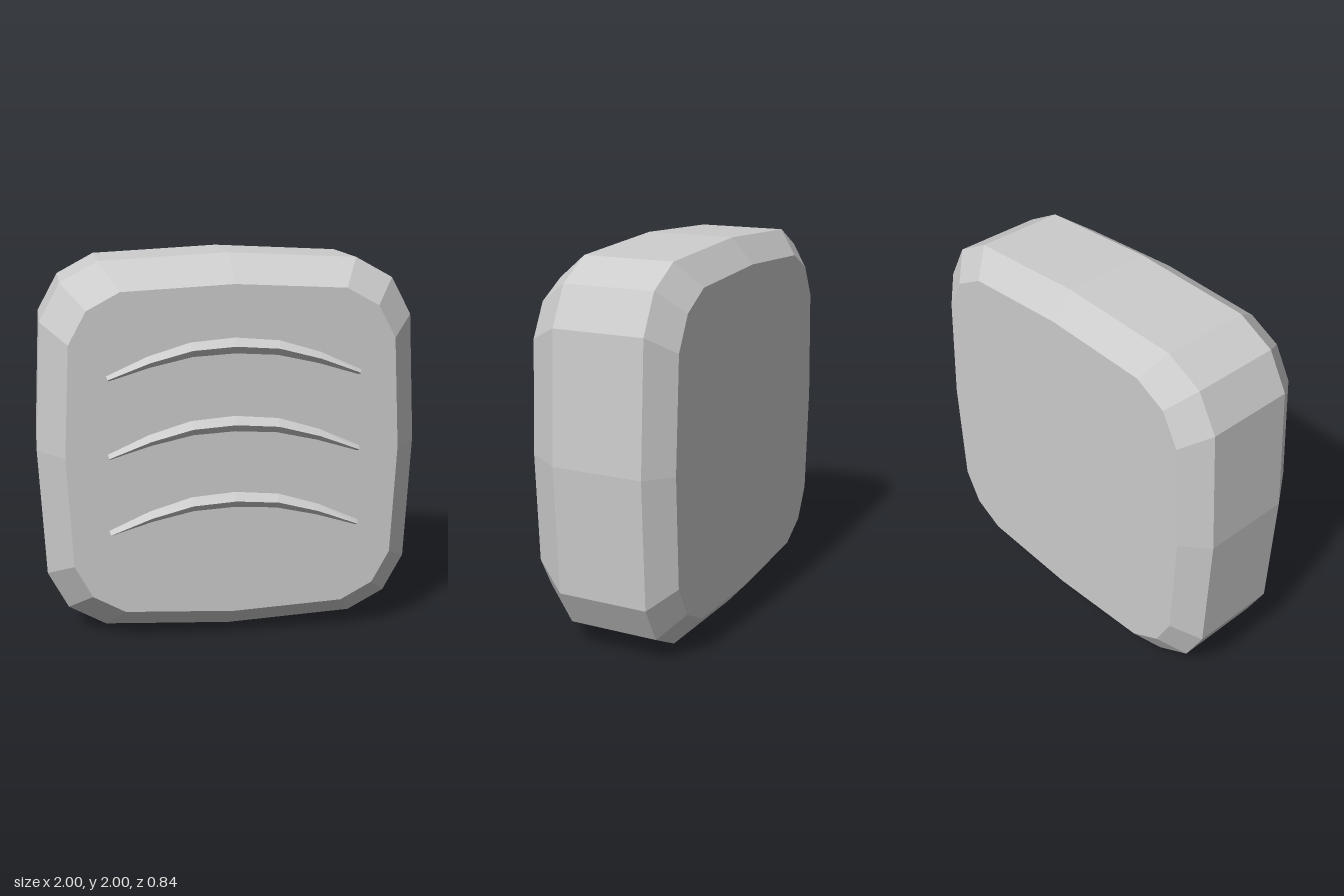
import * as THREE from 'three';

// Skin a list of equal-length rings (counter-clockwise seen from the end side), with both ends capped
function loft(rings) {
  const pos = [];
  const tri = (...pts) => pts.forEach((p) => pos.push(p.x, p.y, p.z));
  const centre = (ring) => ring.reduce((s, p) => s.add(p), new THREE.Vector3()).divideScalar(ring.length);
  const n = rings[0].length;
  const first = rings[0], last = rings[rings.length - 1];
  const c0 = centre(first), c1 = centre(last);
  for (let j = 0; j < n; j++) {
    const k = (j + 1) % n;
    for (let r = 0; r < rings.length - 1; r++) {
      const lo = rings[r], hi = rings[r + 1];
      tri(lo[j], lo[k], hi[k]);
      tri(lo[j], hi[k], hi[j]);
    }
    tri(c0, first[k], first[j]);
    tri(c1, last[j], last[k]);
  }
  const g = new THREE.BufferGeometry();
  g.setAttribute('position', new THREE.Float32BufferAttribute(pos, 3));
  g.computeVertexNormals();
  return g;
}

// Rounded-square outline, four turns of one quadrant
function outline(scale, z) {
  const quadrant = [[1, 0], [0.965, 0.665], [0.86, 0.86], [0.665, 0.967]];
  const ring = [];
  for (let q = 0; q < 4; q++) {
    for (let [x, y] of quadrant) {
      for (let t = 0; t < q; t++) [x, y] = [-y, x];
      ring.push(new THREE.Vector3(x * scale, 1 + y * scale, z));
    }
  }
  return ring;
}

// Arched, tapering ridge with a triangular section
function ridgeGeometry() {
  // x, height of crest line, half thickness, sideways lean of the section
  const half = [[0, 0.155, 0.04, 0], [0.22, 0.139, 0.037, 0.005], [0.433, 0.083, 0.028, 0.007], [0.643, 0.004, 0.013, 0.006]];
  const stations = [
    ...half.slice(1).reverse().map(([x, y, h, lean]) => [-x, y, h, -lean]),
    ...half,
  ];
  return loft(stations.map(([x, y, h, lean]) => [
    new THREE.Vector3(x, y, 0.42),
    new THREE.Vector3(x - lean, y - h, 0.38),
    new THREE.Vector3(x + lean, y + h, 0.38),
  ]));
}

export function createModel() {
  const group = new THREE.Group();
  const grey = new THREE.MeshStandardMaterial({ color: 0xcccccc, flatShading: true });
  grey.name = 'light grey';

  // Bevelled block, back to front
  const body = new THREE.Mesh(
    loft([outline(0.87, -0.42), outline(1, -0.305), outline(1, 0.172), outline(0.86, 0.367)]), grey);
  body.name = 'body';
  group.add(body);

  // Three arched ridges on the front
  const ridge = ridgeGeometry();
  ['lowerRidge', 'middleRidge', 'upperRidge'].forEach((name, i) => {
    const mesh = new THREE.Mesh(ridge, grey);
    mesh.name = name;
    mesh.position.y = 0.6 + 0.4 * i;
    group.add(mesh);
  });
  return group;
}
